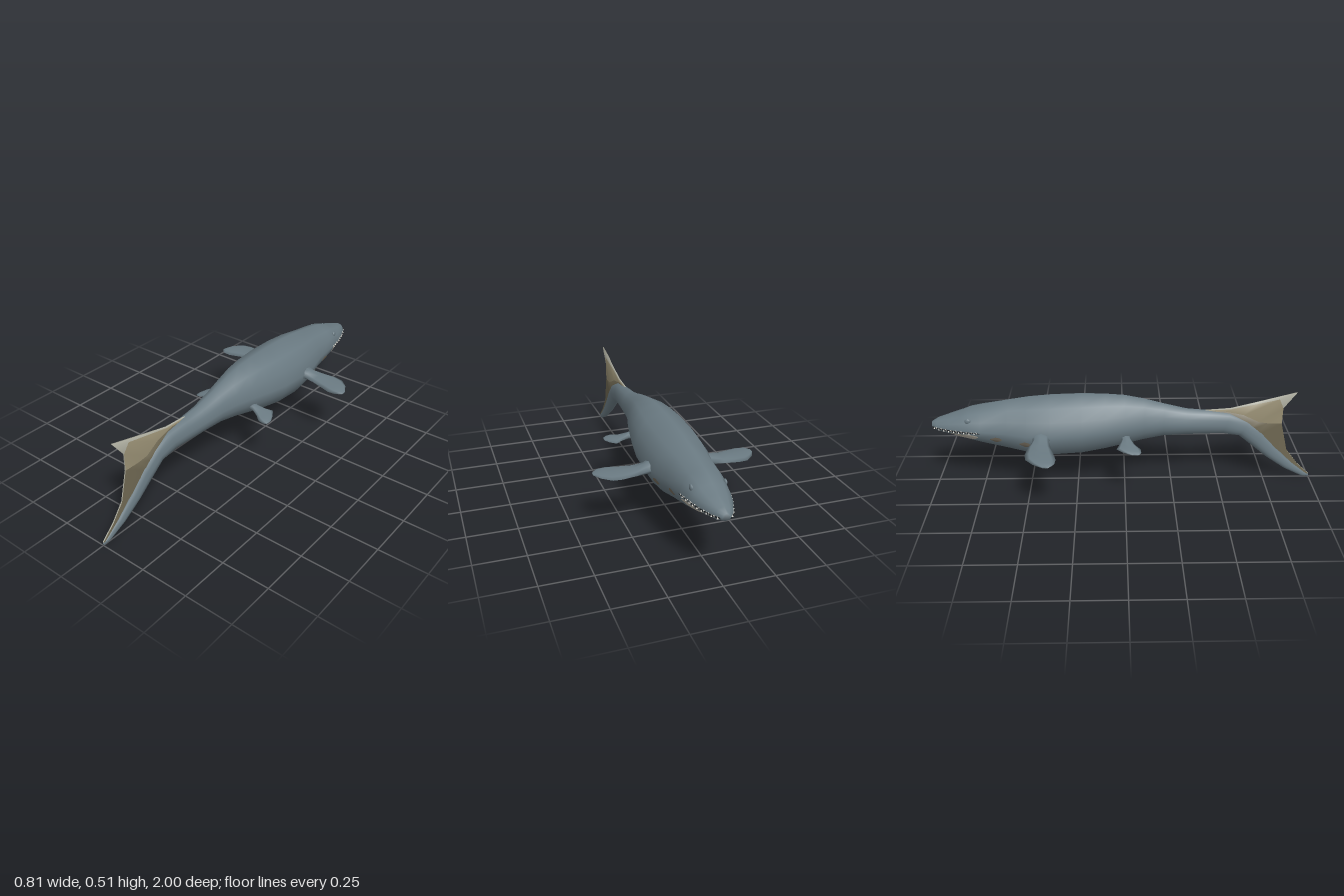
import * as THREE from 'three';

const mat = (name, color, side = THREE.FrontSide) => {
  const m = new THREE.MeshStandardMaterial({ color, side });
  m.name = name;
  return m;
};

// Body sections: [z top, y top, z bottom, y bottom, half width], nose to tail tip
const SECTIONS = [
  [-1, .362, -1, .328, .02], [-.97, .38, -.97, .318, .045], [-.9, .403, -.9, .306, .075],
  [-.84, .424, -.84, .29, .093], [-.8, .442, -.8, .278, .1], [-.74, .455, -.74, .262, .112],
  [-.6, .482, -.6, .225, .122], [-.5, .497, -.5, .204, .145], [-.38, .508, -.38, .19, .155],
  [-.22, .513, -.22, .2, .152], [-.1, .511, -.1, .22, .135], [0, .503, 0, .24, .115],
  [.1, .482, .1, .26, .088], [.2, .454, .2, .276, .067], [.32, .424, .32, .28, .053],
  [.44, .412, .42, .28, .043], [.55, .4, .51, .28, .036], [.65, .355, .6, .266, .032],
  [.73, .285, .68, .2, .028], [.81, .19, .76, .132, .023], [.9, .1, .86, .062, .016],
  [.98, .034, .96, .012, .009], [1, .022, .998, .006, .003],
];
// Half outline of a section, top to bottom, in units of half width and half height
const OUTLINE = [[0, 1], [.58, .75], [.84, .35], [1, -.1], [.92, -.45], [.68, -.84], [0, -1]];
const lerp = THREE.MathUtils.lerp;

// Closed skin through rings that run anticlockwise about the direction of travel
function loft(rings) {
  const n = rings[0].length, pos = [], idx = [];
  rings.forEach(r => r.forEach(p => pos.push(...p)));
  for (let k = 0; k < rings.length - 1; k++) for (let i = 0; i < n; i++) {
    const a = k * n + i, b = k * n + (i + 1) % n;
    idx.push(a, b, a + n, b, b + n, a + n);
  }
  const last = (rings.length - 1) * n;
  for (let i = 1; i < n - 1; i++) idx.push(0, i + 1, i, last, last + i, last + i + 1);
  const g = new THREE.BufferGeometry();
  g.setAttribute('position', new THREE.Float32BufferAttribute(pos, 3));
  g.setIndex(idx);
  g.computeVertexNormals();
  return g;
}

// Half width of the body skin at a given z and y
function skin(z, y) {
  let k = 0;
  while (k < SECTIONS.length - 2 && SECTIONS[k + 1][0] < z) k++;
  const A = SECTIONS[k], B = SECTIONS[k + 1], t = (z - A[0]) / (B[0] - A[0]);
  const top = lerp(A[1], B[1], t), bot = lerp(A[3], B[3], t), w = lerp(A[4], B[4], t);
  const v = THREE.MathUtils.clamp((2 * y - top - bot) / (top - bot), -1, 1);
  let j = 0;
  while (j < OUTLINE.length - 2 && OUTLINE[j + 1][1] > v) j++;
  const P = OUTLINE[j], Q = OUTLINE[j + 1];
  return w * lerp(P[0], Q[0], (v - P[1]) / (Q[1] - P[1]));
}

// Thin marking laid on the flank; spans are [z, low y, high y]
function patch(spans, side, lift) {
  const pos = [], idx = [], rows = 5, steps = 4, cols = (spans.length - 1) * steps;
  for (let c = 0; c <= cols; c++) {
    const k = Math.min(Math.floor(c / steps), spans.length - 2), t = c / steps - k;
    const [z, lo, hi] = spans[k].map((v, i) => lerp(v, spans[k + 1][i], t));
    for (let r = 0; r < rows; r++) {
      const y = lerp(lo, hi, r / (rows - 1));
      pos.push(side * (skin(z, y) + lift), y, z);
      if (c < cols && r < rows - 1) {
        const a = c * rows + r, b = a + rows;
        if (side > 0) idx.push(a, a + 1, b, a + 1, b + 1, b);
        else idx.push(a, b, a + 1, a + 1, b, b + 1);
      }
    }
  }
  const g = new THREE.BufferGeometry();
  g.setAttribute('position', new THREE.Float32BufferAttribute(pos, 3));
  g.setIndex(idx);
  g.computeVertexNormals();
  return g;
}

// Flipper stations: [x, z leading, z trailing, y, half thickness]
const FRONT_FLIPPER = [
  [.1, -.48, -.36, .335, .04], [.165, -.466, -.385, .323, .024], [.22, -.485, -.372, .319, .015],
  [.29, -.495, -.352, .317, .013], [.335, -.488, -.34, .315, .012], [.378, -.45, -.345, .314, .01],
  [.405, -.4, -.37, .311, .004],
];
const REAR_FLIPPER = [
  [.07, -.04, .03, .308, .022], [.115, -.015, .03, .302, .016], [.155, -.03, .05, .294, .01],
  [.19, -.045, .078, .288, .009], [.215, -.01, .08, .283, .007], [.232, .03, .068, .279, .003],
];
function flipper(stations, side) {
  return loft(stations.map(([x, z0, z1, y, h]) => Array.from({ length: 8 }, (_, i) => {
    const a = side * i * Math.PI / 4;
    return [side * x, y + Math.sin(a) * h, (z0 + z1) / 2 - Math.cos(a) * (z1 - z0) / 2];
  })));
}

// Tail fin lines in [z, y]: outer edge, two colour borders, root inside the tail
const EDGE = [[.42, .413], [.55, .422], [.68, .455], [.89, .51], [.825, .42], [.825, .33], [.865, .175], [.93, .09], [1, .025]];
const PALE_LINE = [[.42, .41], [.55, .416], [.68, .444], [.8, .475], ...EDGE.slice(4)];
const OLIVE_LINE = [[.41, .405], [.52, .406], [.62, .386], [.7, .348], [.75, .338], ...EDGE.slice(5)];
const ROOT = [[.4, .37], [.5, .37], [.58, .34], [.65, .3], [.69, .265], [.72, .225], [.8, .155], [.88, .08], [.98, .018]];
function finBand(outer, inner) {
  const pos = [], idx = [], n = EDGE.length;
  for (const s of [1, -1]) for (const line of [outer, inner]) line.forEach(([z, y], i) => {
    const d = Math.hypot(z - EDGE[i][0], y - EDGE[i][1]);
    pos.push(s * Math.min(.017, .003 + .09 * d), y, z);
  });
  for (let i = 0; i < n - 1; i++) {
    const a = i, b = i + n, c = a + 2 * n, d = b + 2 * n;
    idx.push(a, a + 1, b, a + 1, b + 1, b);
    idx.push(c, d, c + 1, c + 1, d, d + 1);
    idx.push(a, c, a + 1, c, c + 1, a + 1);
  }
  const g = new THREE.BufferGeometry();
  g.setAttribute('position', new THREE.Float32BufferAttribute(pos, 3));
  g.setIndex(idx);
  g.computeVertexNormals();
  return g;
}

export function createModel() {
  const model = new THREE.Group();
  model.name = 'marineReptile';
  const D = THREE.DoubleSide;
  const slate = mat('slateSkin', 0x6a7a82), pale = mat('paleFin', 0xb0b0a2, D);
  const olive = mat('oliveFin', 0x968d72, D), dark = mat('darkOliveFin', 0x6c6550, D);
  const cream = mat('creamJaw', 0xb4afa2, D), brown = mat('brownSpot', 0x6f6759, D);
  const mouth = mat('darkMouth', 0x2c3033, D), ivory = mat('ivoryTeeth', 0xe6e4dc);
  const add = (name, geo, m) => {
    const mesh = new THREE.Mesh(geo, m);
    mesh.name = name;
    model.add(mesh);
    return mesh;
  };

  // Head, trunk and down-bent tail
  const left = OUTLINE.slice(1, -1).reverse();
  const ring = [...OUTLINE.map(([x, v]) => [-x, v]), ...left];
  add('body', loft(SECTIONS.map(([zt, yt, zb, yb, w]) => ring.map(([x, v]) =>
    [x * w, lerp(yb, yt, (v + 1) / 2), lerp(zb, zt, (v + 1) / 2)]))), slate);

  // Tail fin in three tones
  add('tailFinTip', finBand(EDGE, PALE_LINE), pale);
  add('tailFinMiddle', finBand(PALE_LINE, OLIVE_LINE), olive);
  add('tailFinRoot', finBand(OLIVE_LINE, ROOT), dark);

  for (const s of [1, -1]) {
    const side = s > 0 ? 'left' : 'right';
    add(side + 'FrontFlipper', flipper(FRONT_FLIPPER, s), slate);
    add(side + 'RearFlipper', flipper(REAR_FLIPPER, s), slate);

    // Mouth line, jaw marking and flank spots
    add(side + 'Mouth', patch([[-.995, .336, .345], [-.87, .334, .346], [-.74, .338, .343]], s, .003), mouth);
    add(side + 'JawPatch', patch([[-.9, .322, .326], [-.86, .306, .328], [-.8, .296, .33], [-.77, .298, .326], [-.75, .316, .32]], s, .003), cream);
    add(side + 'ShoulderSpot', patch([[-.54, .288, .292], [-.51, .272, .306], [-.49, .278, .3], [-.48, .288, .292]], s, .004), brown);
    add(side + 'CheekSpot', patch([[-.69, .306, .31], [-.66, .29, .322], [-.64, .296, .318], [-.63, .304, .31]], s, .004), brown);

    // Teeth along the mouth line
    for (let i = 0; i < 18; i++) {
      const z = -.985 + i * .0135;
      const tooth = add(side + 'Tooth', new THREE.ConeGeometry(.0045, .013, 5), ivory);
      tooth.position.set(s * (skin(z, .34) + .002), .34, z);
      tooth.rotation.x = i % 2 ? Math.PI : 0;
    }

    // Eye bulge under the brow
    const eye = add(side + 'Eye', new THREE.SphereGeometry(.016, 12, 8), slate);
    eye.scale.x = .5;
    eye.position.set(s * skin(-.8, .395), .395, -.8);
  }
  return model;
}
